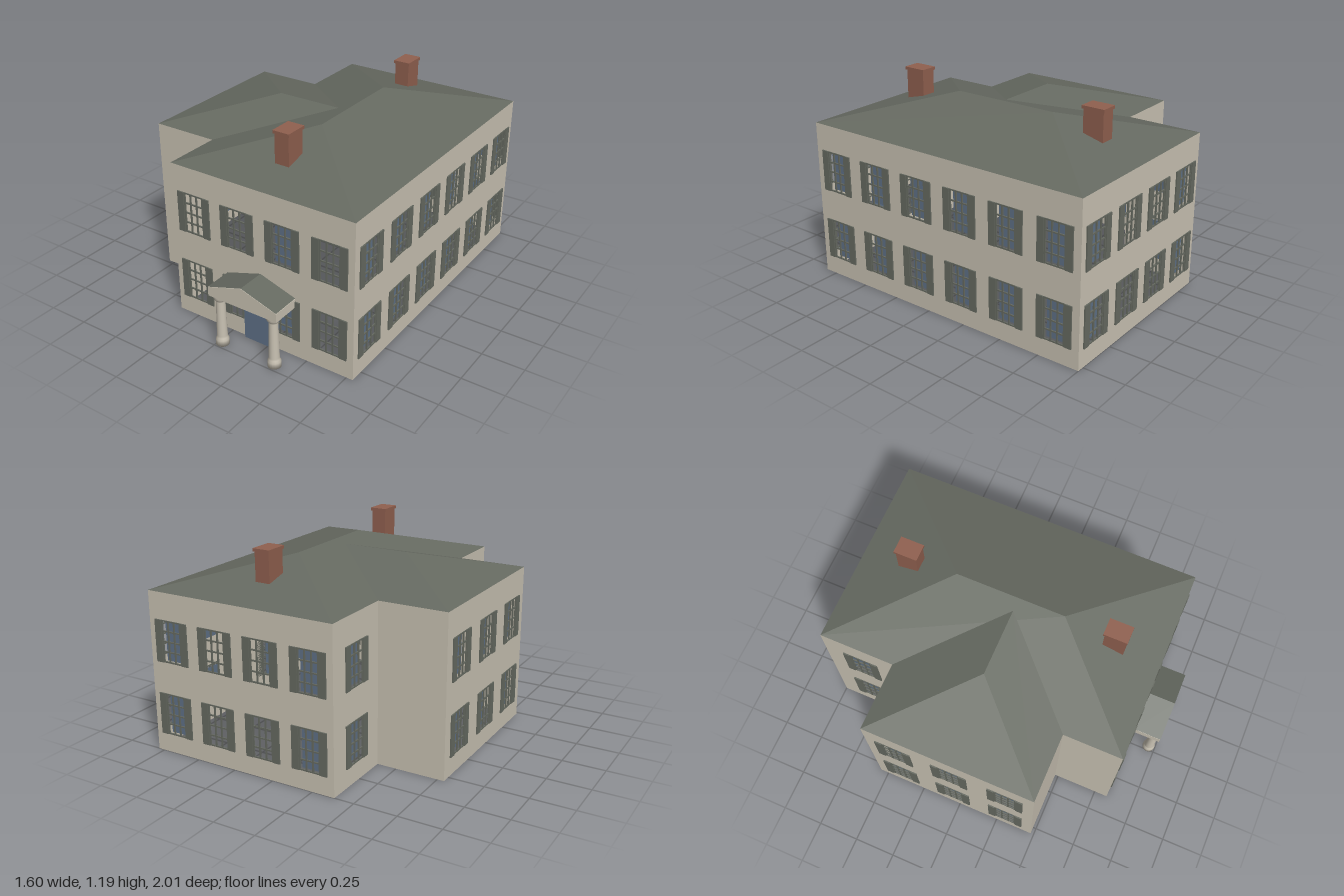
import * as THREE from 'three';

const mat = (name, color, side = THREE.FrontSide) =>
  Object.assign(new THREE.MeshStandardMaterial({ color, side }), { name });

export function createModel() {
  const house = new THREE.Group();
  house.name = 'house';
  const stone = mat('stone', 0xc9c2b3, THREE.DoubleSide);
  const slate = mat('slate', 0x666a61, THREE.DoubleSide);
  const blue = mat('blueGlass', 0x5f7187, THREE.DoubleSide);
  const brick = mat('brick', 0x90604f);

  const add = (parent, name, geo, material, x = 0, y = 0, z = 0) => {
    const m = new THREE.Mesh(geo, material);
    m.name = name;
    m.position.set(x, y, z);
    parent.add(m);
    return m;
  };
  const box = (parent, name, material, w, h, d, x, y, z) =>
    add(parent, name, new THREE.BoxGeometry(w, h, d), material, x, y, z);

  // Flat faces, each a list of 3 or 4 corners in counter-clockwise order
  const faces = (list) => {
    const pos = [];
    for (const f of list) {
      for (let i = 1; i < f.length - 1; i++) pos.push(...f[0], ...f[i], ...f[i + 1]);
    }
    const g = new THREE.BufferGeometry();
    g.setAttribute('position', new THREE.Float32BufferAttribute(pos, 3));
    g.computeVertexNormals();
    return g;
  };

  const EAVE = 0.94, WIN_W = 0.13, WIN_H = 0.245, SHUTTER = 0.043;
  const rows = [0.232, 0.662];

  // Window: bars in the wall opening, a shutter each side, optional recessed pane
  function addWindow(wall, x, y, glazed) {
    const w = new THREE.Group();
    w.name = 'window';
    w.position.set(x, y, 0);
    wall.add(w);
    for (let i = 0; i <= 3; i++) {
      box(w, 'uprightBar', slate, 0.008, WIN_H, 0.008, (i / 3 - 0.5) * (WIN_W - 0.008), 0, 0);
    }
    for (let i = 0; i <= 4; i++) {
      box(w, 'crossBar', slate, WIN_W, 0.008, 0.007, 0, (i / 4 - 0.5) * (WIN_H - 0.008), 0);
    }
    for (const s of [-1, 1]) {
      box(w, 'shutter', slate, SHUTTER, WIN_H, 0.008, s * (WIN_W + SHUTTER) / 2, 0, 0.004);
    }
    if (glazed) add(w, 'pane', new THREE.PlaneGeometry(WIN_W, WIN_H), blue, 0, 0, -0.03);
  }

  // Wall sheet facing local +z with evenly spaced window openings
  function addWall(name, length, x, z, turn, columns, glazed) {
    const wall = new THREE.Group();
    wall.name = name;
    wall.position.set(x, 0, z);
    wall.rotation.y = turn;
    house.add(wall);
    const L = length / 2;
    const shape = new THREE.Shape([[-L, 0], [L, 0], [L, EAVE], [-L, EAVE]].map(p => new THREE.Vector2(...p)));
    for (let i = 0; i < columns; i++) {
      const cx = -L + (i + 0.5) * length / columns;
      for (const cy of rows) {
        const a = WIN_W / 2, b = WIN_H / 2;
        shape.holes.push(new THREE.Path([[-a, -b], [-a, b], [a, b], [a, -b]]
          .map(p => new THREE.Vector2(cx + p[0], cy + p[1]))));
        addWindow(wall, cx, cy, glazed.includes(i));
      }
    }
    add(wall, name + 'Sheet', new THREE.ShapeGeometry(shape), stone);
  }

  // Plan of the main block and the side wing
  const x0 = -0.385, x1 = 0.79, z0 = -1, z1 = 0.83;
  const wx = -0.79, wz0 = -0.55, wz1 = 0.48;
  const Q = Math.PI / 2;
  addWall('frontWall', x1 - x0, (x0 + x1) / 2, z1, 0, 4, [2]);
  addWall('backWall', x1 - x0, (x0 + x1) / 2, z0, Math.PI, 4, [0, 3]);
  addWall('leftWall', z1 - z0, x1, (z0 + z1) / 2, Q, 6, [0, 1, 2, 3, 4, 5]);
  addWall('rightRearWall', wz0 - z0, x0, (z0 + wz0) / 2, -Q, 1, [0]);
  addWall('rightFrontWall', z1 - wz1, x0, (z1 + wz1) / 2, -Q, 0, []);
  addWall('wingFrontWall', x0 - wx, (x0 + wx) / 2, wz1, 0, 0, []);
  addWall('wingBackWall', x0 - wx, (x0 + wx) / 2, wz0, Math.PI, 0, []);
  addWall('wingSideWall', wz1 - wz0, wx, (wz0 + wz1) / 2, -Q, 3, [0, 1, 2]);

  // Hipped main roof
  const A = [x0, EAVE, z1], B = [x1, EAVE, z1], C = [x1, EAVE, z0], D = [x0, EAVE, z0];
  const R1 = [0.203, 1.095, 0.245], R2 = [0.203, 1.095, -0.41];
  add(house, 'mainRoof', faces([[A, B, R1], [B, C, R2, R1], [C, D, R2], [D, A, R1, R2]]), slate);

  // Hipped wing roof running into the main slope
  const E = [wx, EAVE, wz1], F = [x0, EAVE, wz1], G = [x0, EAVE, wz0], H = [wx, EAVE, wz0];
  const W1 = [-0.275, 1.076, -0.035], W2 = [0.128, 1.076, -0.035];
  add(house, 'wingRoof', faces([[E, F, W2, W1], [H, E, W1], [G, H, W1, W2]]), slate);

  // Chimneys
  for (const z of [0.553, -0.697]) {
    const chimney = new THREE.Group();
    chimney.name = 'chimney';
    chimney.position.set(0.2, 0, z);
    house.add(chimney);
    box(chimney, 'stack', brick, 0.09, 0.22, 0.125, 0, 1.06, 0);
    box(chimney, 'cap', brick, 0.104, 0.018, 0.14, 0, 1.179, 0);
  }

  // Porch: pediment, roof slopes, columns and door
  const porch = new THREE.Group();
  porch.name = 'porch';
  porch.position.x = 0.203;
  house.add(porch);
  const half = 0.225;
  const gable = new THREE.Shape([[-half, 0.317], [half, 0.317], [half, 0.37], [0, 0.44], [-half, 0.37]]
    .map(p => new THREE.Vector2(...p)));
  add(porch, 'pediment', new THREE.ExtrudeGeometry(gable, { depth: 0.169, bevelEnabled: false }), stone, 0, 0, z1);
  const slope = (s) => {
    const f = [[0, 0.444, z1], [0, 0.444, 1], [s * half, 0.373, 1], [s * half, 0.373, z1]];
    return s > 0 ? f : f.reverse();
  };
  add(porch, 'porchRoof', faces([slope(1), slope(-1)]), slate);

  const profile = [[0, 0], [0.038, 0], [0.038, 0.035], [0.031, 0.047], [0.03, 0.06], [0.026, 0.28],
    [0.028, 0.288], [0.038, 0.3], [0.038, 0.317]].map(p => new THREE.Vector2(...p));
  for (const s of [-1, 1]) {
    add(porch, 'column', new THREE.LatheGeometry(profile, 16), stone, s * 0.176, 0, 0.958);
  }
  box(porch, 'door', blue, 0.215, 0.31, 0.008, 0, 0.155, z1 + 0.012);

  return house;
}
